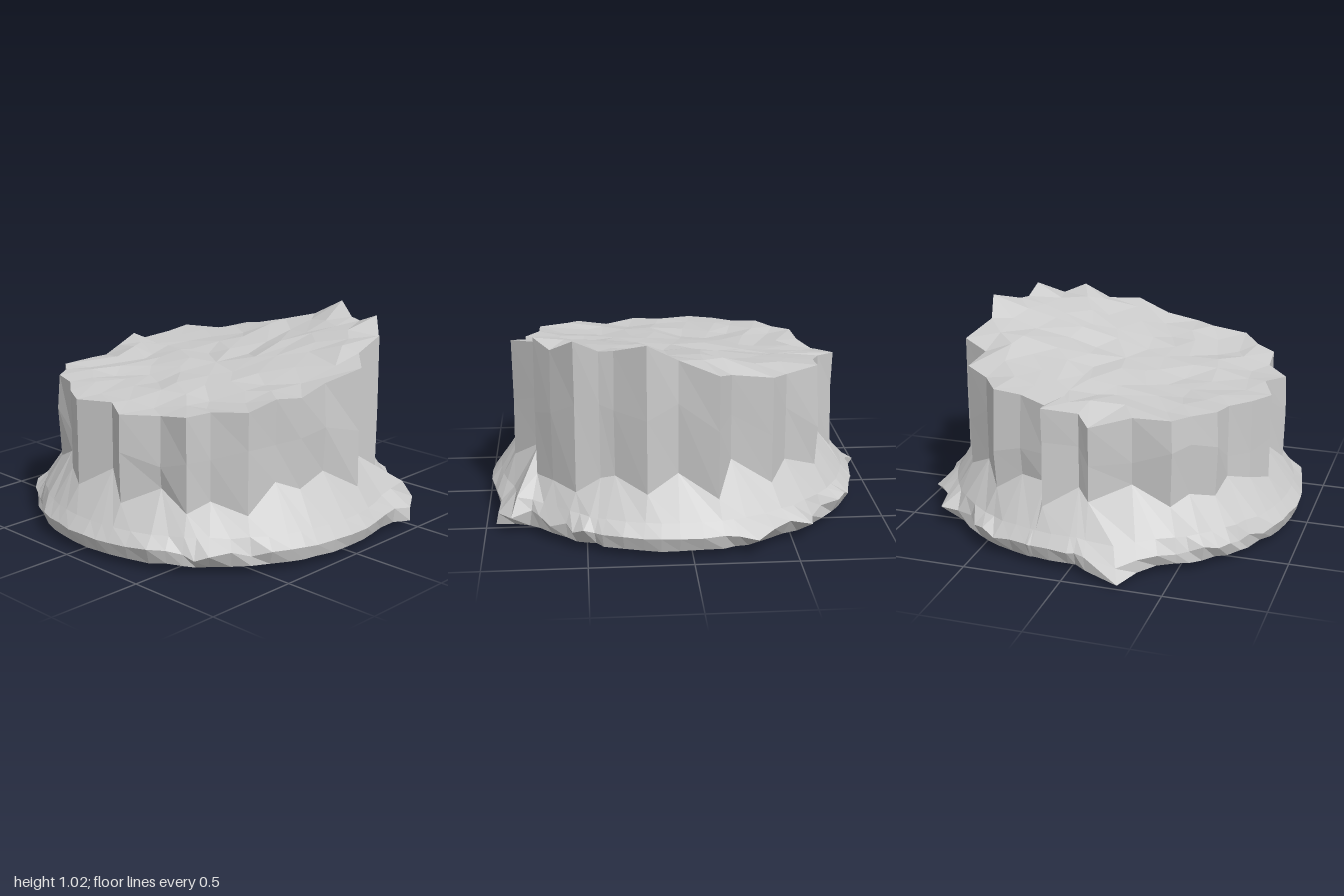
import * as THREE from 'three';

// cliff edge seen from above (x, z, height offset), counter-clockwise from the front
const EDGE = [
  [-0.12, 0.81, 0], [0.06, 0.74, 0], [0.2, 0.82, 0], [0.36, 0.70, 0], [0.52, 0.69, 0.02], [0.58, 0.59, 0.03],
  [0.73, 0.49, 0.03], [0.73, 0.30, 0.02], [0.80, 0.20, 0], [0.79, 0.02, 0], [0.86, -0.17, -0.02],
  [0.73, -0.31, -0.02], [0.74, -0.46, 0], [0.66, -0.56, -0.05], [0.55, -0.68, 0], [0.43, -0.69, -0.04],
  [0.36, -0.71, -0.03], [0.21, -0.81, 0.02], [0.06, -0.76, -0.02], [-0.13, -0.83, -0.07], [-0.20, -0.69, -0.07],
  [-0.40, -0.70, -0.06], [-0.48, -0.57, -0.04], [-0.65, -0.46, 0], [-0.65, -0.32, 0], [-0.70, -0.18, 0],
  [-0.78, -0.17, 0.02], [-0.72, 0, 0], [-0.76, 0.06, -0.05], [-0.66, 0.25, -0.01], [-0.65, 0.44, 0],
  [-0.56, 0.51, 0], [-0.48, 0.62, 0], [-0.36, 0.65, 0], [-0.25, 0.74, 0],
];
const CX = 0.04;

let seed = 7;
function rand() { // -1..1
  seed = (seed * 16807) % 2147483647;
  return (seed / 2147483647) * 2 - 1;
}

// point on the cliff edge at a fraction of its length in steps
function edgeAt(fraction) {
  const f = fraction * EDGE.length, i = Math.floor(f), t = f - i;
  const p = EDGE[i], q = EDGE[(i + 1) % EDGE.length];
  return [p[0] + (q[0] - p[0]) * t, p[1] + (q[1] - p[1]) * t];
}

// height of the sloping plateau, with a low step on the right
function plateau(x, z) {
  const step = x > 0.12 && z < -0.12 + (x - 0.12) * 0.2 ? 0.02 : 0;
  return 0.787 + 0.055 * x - 0.14 * z + 0.08 * z * z - 0.11 * x * z + step;
}

// ring of the skirt with two points per cliff facet; its edge is lumpy on the diagonals
function skirtRing(radius, y, jitter) {
  const count = EDGE.length * 2, ring = [];
  for (let k = 0; k < count; k++) {
    const [x, z] = edgeAt(k / count);
    const a = Math.atan2(z, x - CX);
    const lumpy = jitter * (Math.abs(Math.sin(2 * a)) > 0.75 ? 2.2 : 0.5);
    const r = radius + rand() * lumpy;
    ring.push([CX + Math.cos(a) * r, y + rand() * lumpy * 0.8, Math.sin(a) * r]);
  }
  return ring;
}

// pull the nearest point of a ring out to a spike, and its neighbours a little
function spike(ring, p) {
  let best = 0;
  const dist = (q) => Math.hypot(q[0] - p[0], q[2] - p[2]);
  ring.forEach((q, i) => { if (dist(q) < dist(ring[best])) best = i; });
  const n = ring.length;
  for (const i of [(best + n - 1) % n, (best + 1) % n]) {
    ring[i] = ring[i].map((v, k) => v + (p[k] - ring[best][k]) * 0.3);
  }
  ring[best] = p;
}

// zip two rings of any size together: a is lower or outer, b is upper or inner
function stitch(out, a, b) {
  const na = a.length, nb = b.length;
  const stepsA = na > 1 ? na : 0, stepsB = nb > 1 ? nb : 0;
  let i = 0, j = 0;
  while (i < stepsA || j < stepsB) {
    const goA = j >= stepsB || (i < stepsA && (i + 1) / na <= (j + 1) / nb);
    if (goA) {
      out.push(...a[i % na], ...a[(i + 1) % na], ...b[j % nb]);
      i++;
    } else {
      out.push(...b[(j + 1) % nb], ...b[j % nb], ...a[i % na]);
      j++;
    }
  }
}

function meshFromRings(name, rings, material) {
  const pos = [];
  for (let k = 0; k + 1 < rings.length; k++) stitch(pos, rings[k], rings[k + 1]);
  const geo = new THREE.BufferGeometry();
  geo.setAttribute('position', new THREE.Float32BufferAttribute(pos, 3));
  geo.computeVertexNormals();
  const mesh = new THREE.Mesh(geo, material);
  mesh.name = name;
  return mesh;
}

export function createModel() {
  const group = new THREE.Group();
  group.name = 'rockPlateau';
  const stone = new THREE.MeshStandardMaterial({ color: 0xcccccc, flatShading: true });

  // cliff: vertical facets that meet the skirt's cone, so the grooves end higher
  const foot = EDGE.map(([x, z]) => {
    const r = Math.hypot(x - CX, z);
    return [x, 0.155 + 1.3 * (0.925 - r), z];
  });
  const rimTop = EDGE.map(([x, z, dy]) => [x, plateau(x, z) + dy + rand() * 0.006, z]);
  const middle = EDGE.map(([x, z], i) => {
    const s = 1.005 + rand() * 0.015;
    return [CX + (x - CX) * s, foot[i][1] * 0.5 + rimTop[i][1] * 0.5 + rand() * 0.08, z * s];
  });

  // skirt: flat underside, blunt rim and sloping scree
  const under = skirtRing(0.79, 0, 0);
  const lower = skirtRing(0.93, 0.038, 0.006);
  const rim = skirtRing(0.952, 0.108, 0.013);
  const shoulder = skirtRing(0.90, 0.168, 0.003);
  // broken rocks on the left, right and back of the rim
  spike(lower, [-1, 0.02, 0.28]);
  spike(rim, [-0.93, 0.07, 0.25]);
  spike(shoulder, [-0.86, 0.15, 0.22]);
  spike(rim, [-0.31, 0.09, -0.95]);
  spike(rim, [-0.59, 0.10, -0.80]);
  spike(lower, [0.95, 0.02, -0.50]);
  spike(rim, [0.94, 0.09, -0.49]);
  spike(rim, [0.87, 0.10, -0.62]);
  spike(shoulder, [0.84, 0.19, -0.57]);
  spike(rim, [0.64, 0.08, 0.76]);

  group.add(meshFromRings('skirt', [[[CX, 0, 0]], under, lower, rim, shoulder, foot], stone));
  group.add(meshFromRings('cliff', [foot, middle, rimTop], stone));

  // plateau: rings shrinking to the middle, roughened
  const rings = [rimTop];
  for (const [count, scale] of [[28, 0.82], [22, 0.63], [16, 0.44], [9, 0.23]]) {
    const ring = [];
    for (let k = 0; k < count; k++) {
      const [ex, ez] = edgeAt(k / count);
      const x = CX + (ex - CX) * scale + rand() * 0.025;
      const z = ez * scale + rand() * 0.025;
      ring.push([x, plateau(x, z) + rand() * 0.015, z]);
    }
    rings.push(ring);
  }
  rings.push([[CX, plateau(CX, 0), 0]]);
  group.add(meshFromRings('plateauTop', rings, stone));

  return group;
}
